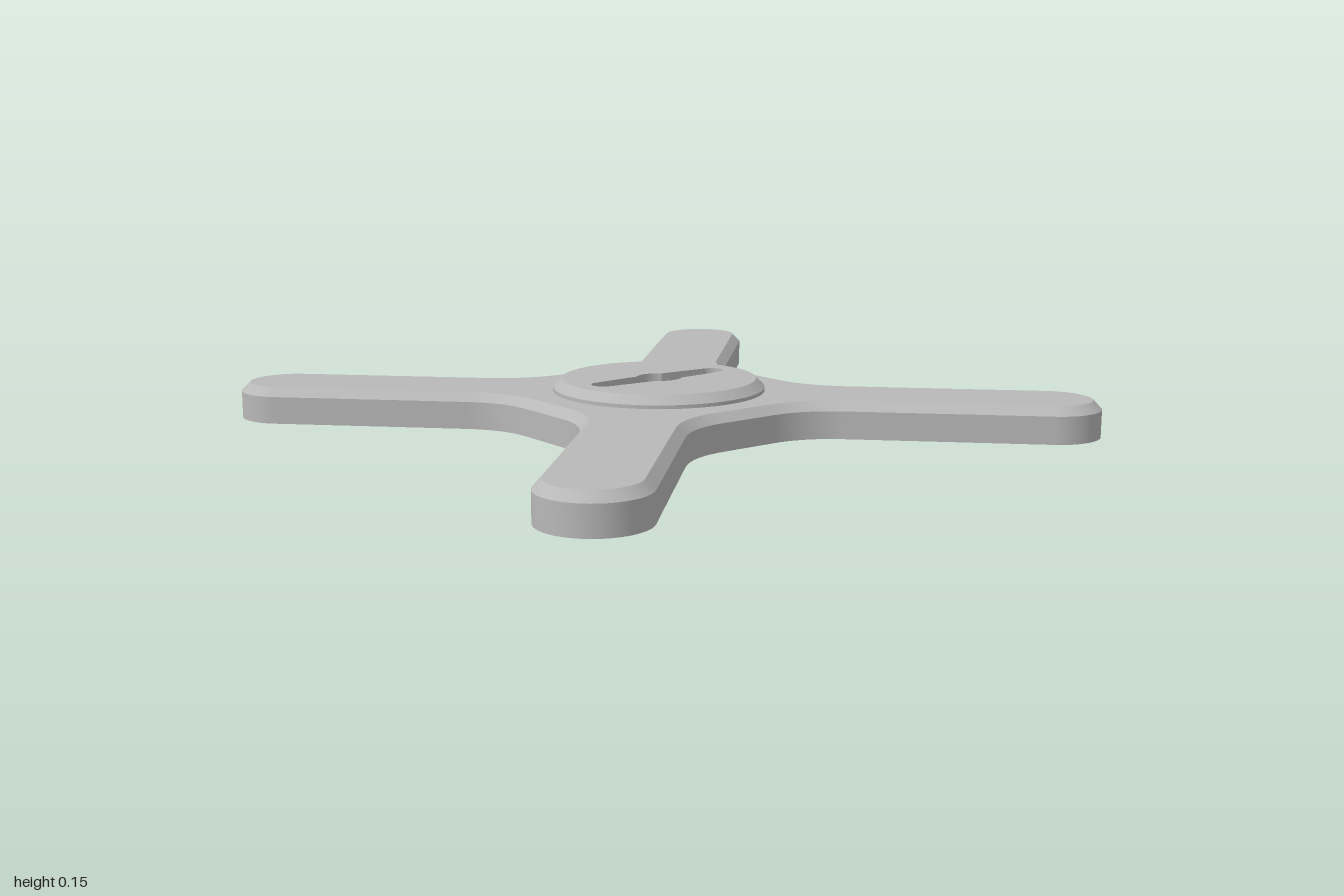
import * as THREE from 'three';
import { mergeGeometries } from 'three/addons/utils/BufferGeometryUtils.js';

const BASE_TOP = 0.112, HUB_TOP = 0.15, CHAMFER = 0.027, HOLE_R = 0.07;

// Points along an arc, angles in degrees
function arc(cx, cy, r, from, to, steps) {
  return Array.from({ length: steps + 1 }, (_, i) => {
    const a = THREE.MathUtils.degToRad(from + (to - from) * i / steps);
    return new THREE.Vector2(cx + r * Math.cos(a), cy + r * Math.sin(a));
  });
}
const circle = (r, x = 0, n = 96) => arc(x, 0, r, 0, 360, n).slice(0, -1);

// Four-armed outline, counter-clockwise, moved inwards by d
function crossOutline(d) {
  const fillet = 0.285 + d;
  const arm = [
    ...arc(0.718, 0.10, fillet, 180, 135, 10),
    ...arc(0.848, 0.848, 0.152 - d, -45, 135, 28),
    ...arc(0.10, 0.718, fillet, -45, -90, 10),
  ];
  const points = [];
  for (let k = 0; k < 4; k++) {
    for (const p of arm) points.push(p.clone().rotateAround(new THREE.Vector2(), k * Math.PI / 2));
  }
  return points;
}

// Key slot that widens slightly towards the round centre hole
function slotOutline() {
  const half = [
    ...arc(0, 0, HOLE_R, -90, -43, 8),
    new THREE.Vector2(0.10, -0.046),
    ...arc(0.212, 0, 0.038, -90, 90, 16),
    new THREE.Vector2(0.10, 0.046),
    ...arc(0, 0, HOLE_R, 43, 90, 8),
  ];
  const other = half.slice(1, -1).map((p) => new THREE.Vector2(-p.x, -p.y));
  return [...half, ...other];
}

// Side wall between two matching outlines; inward is for holes
function wall(lower, y0, upper, y1, inward = false) {
  const lo = inward ? [...lower].reverse() : lower;
  const up = inward ? [...upper].reverse() : upper;
  const n = lo.length, pos = [], index = [];
  lo.forEach((p) => pos.push(p.x, y0, -p.y));
  up.forEach((p) => pos.push(p.x, y1, -p.y));
  for (let i = 0; i < n; i++) {
    const j = (i + 1) % n;
    index.push(i, j, n + i, j, n + j, n + i);
  }
  const g = new THREE.BufferGeometry();
  g.setAttribute('position', new THREE.Float32BufferAttribute(pos, 3));
  g.setIndex(index);
  g.computeVertexNormals();
  return g;
}

// Flat face with holes
function cap(outline, holes, y, down = false) {
  const shape = new THREE.Shape(outline);
  shape.holes = holes.map((h) => new THREE.Path(h));
  const g = new THREE.ShapeGeometry(shape);
  g.rotateX(down ? Math.PI / 2 : -Math.PI / 2).translate(0, y, 0);
  g.deleteAttribute('uv');
  return g;
}

export function createModel() {
  const group = new THREE.Group();
  const grey = new THREE.MeshStandardMaterial({ color: 0xb8b8b8 });
  grey.name = 'grey';
  const add = (name, parts) => {
    const mesh = new THREE.Mesh(mergeGeometries(parts), grey);
    mesh.name = name;
    group.add(mesh);
  };

  // Cross-shaped base with chamfered upper edge
  const outer = crossOutline(0), inner = crossOutline(CHAMFER);
  const bore = circle(HOLE_R);
  const pins = [-0.165, 0.165].map((x) => circle(0.023, x, 32));
  const shoulder = BASE_TOP - CHAMFER;
  add('crossBase', [
    wall(outer, 0, outer, shoulder),
    wall(outer, shoulder, inner, BASE_TOP),
    cap(inner, [bore, ...pins], BASE_TOP),
    cap(outer, [bore], 0, true),
    wall(bore, 0, bore, BASE_TOP, true),
  ]);

  // Two small blind holes in the slot floor
  add('pinHoles', pins.flatMap((p) => [
    wall(p, 0.07, p, BASE_TOP, true),
    cap(p, [], 0.07),
  ]));

  // Raised round hub with the slot cut through it
  const rim = circle(0.33), rimTop = circle(0.33 - CHAMFER), slot = slotOutline();
  const hubShoulder = HUB_TOP - CHAMFER;
  add('hub', [
    wall(rim, BASE_TOP, rim, hubShoulder),
    wall(rim, hubShoulder, rimTop, HUB_TOP),
    cap(rimTop, [slot], HUB_TOP),
  ]);
  add('hubSlot', [wall(slot, BASE_TOP, slot, HUB_TOP, true)]);

  return group;
}
